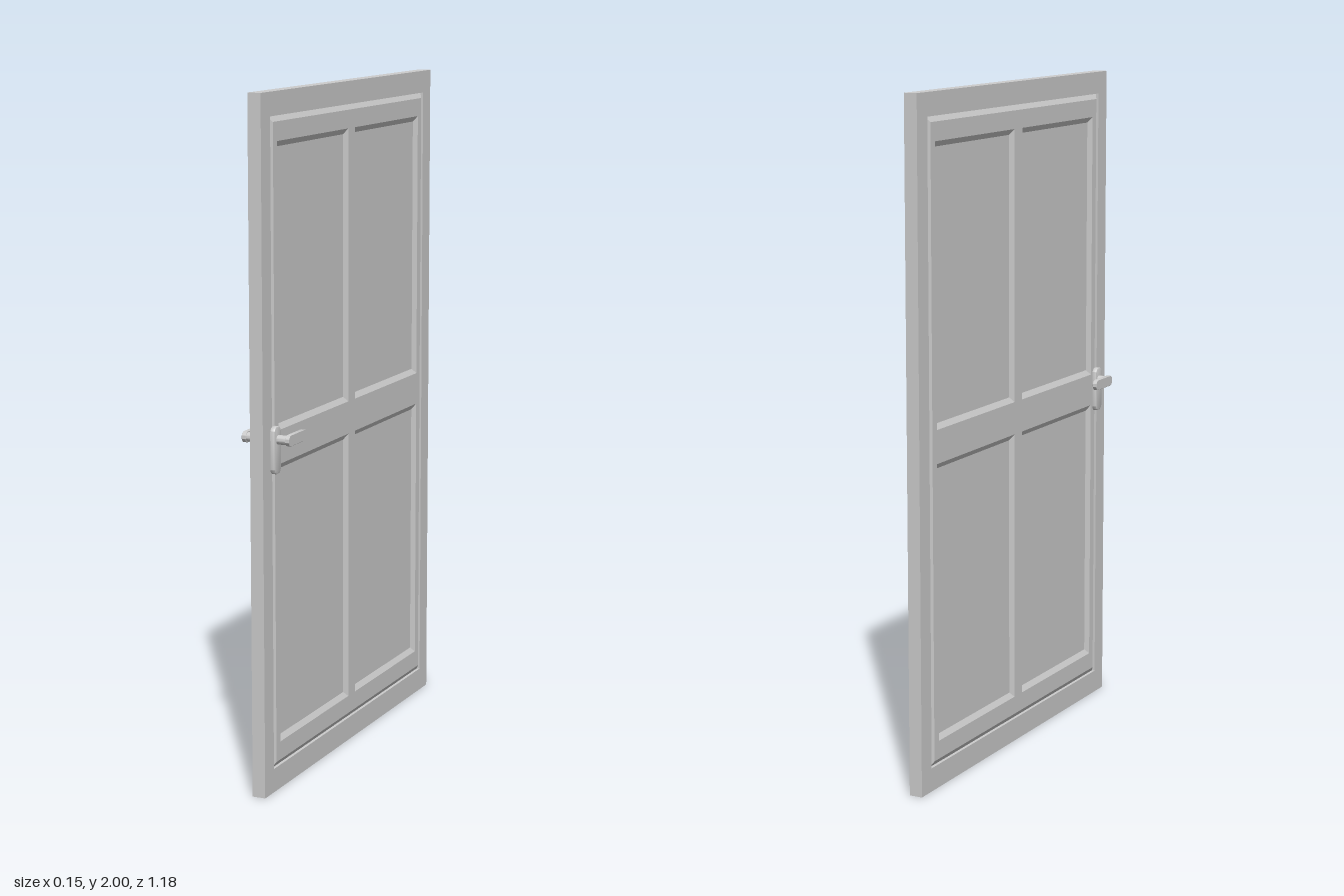
import * as THREE from 'three';
import { toCreasedNormals } from 'three/addons/utils/BufferGeometryUtils.js';

const material = new THREE.MeshStandardMaterial({ color: 0xcccccc });

function addMesh(parent, geometry, name) {
  const mesh = new THREE.Mesh(geometry, material);
  mesh.name = name;
  parent.add(mesh);
  return mesh;
}

// Rectangle outline, for shapes and holes
function rect(x0, y0, x1, y1, Kind = THREE.Shape) {
  const p = new Kind();
  p.moveTo(x0, y0).lineTo(x1, y0).lineTo(x1, y1).lineTo(x0, y1).closePath();
  return p;
}

// Rectangle with rounded corners
function roundRect(x0, y0, x1, y1, r) {
  const s = new THREE.Shape();
  s.absarc(x1 - r, y0 + r, r, -Math.PI / 2, 0);
  s.absarc(x1 - r, y1 - r, r, 0, Math.PI / 2);
  s.absarc(x0 + r, y1 - r, r, Math.PI / 2, Math.PI);
  s.absarc(x0 + r, y0 + r, r, Math.PI, Math.PI * 1.5);
  return s;
}

// Extrudes a shape along x (shape x becomes -z), centred on xCentre;
// the bevel cuts into the outline at both faces
function slab(shape, thickness, xCentre = 0, bevel = 0, bevelDepth = bevel, segments = 1) {
  const g = new THREE.ExtrudeGeometry(shape, {
    depth: thickness - 2 * bevelDepth,
    bevelEnabled: bevel > 0,
    bevelSize: bevel,
    bevelOffset: -bevel,
    bevelThickness: bevelDepth,
    bevelSegments: segments,
    curveSegments: 8,
  });
  g.translate(0, 0, -thickness / 2 + bevelDepth);
  g.rotateY(Math.PI / 2);
  g.translate(xCentre, 0, 0);
  return g;
}

// Plate, spindle and lever on one side of the door
function makeHandle(side) {
  const handle = new THREE.Group();
  handle.name = side > 0 ? 'leftHandle' : 'rightHandle';

  const plate = slab(roundRect(-0.546, 0.936, -0.504, 1.072, 0.017), 0.018, side * 0.025, 0.004, 0.004, 2);
  addMesh(handle, toCreasedNormals(plate, 0.6), 'handlePlate');

  const spindle = new THREE.CylinderGeometry(0.0135, 0.0135, 0.04, 20);
  spindle.rotateZ(Math.PI / 2).translate(side * 0.048, 1.034, 0.523);
  addMesh(handle, toCreasedNormals(spindle, 0.6), 'handleSpindle');

  const lever = slab(roundRect(-0.538, 1.018, -0.422, 1.05, 0.0155), 0.013, side * 0.0675, 0.001);
  addMesh(handle, toCreasedNormals(lever, 0.6), 'handleLever');
  return handle;
}

export function createModel() {
  const door = new THREE.Group();
  door.name = 'door';

  // Outer frame
  const frame = rect(-0.592, 0, 0.592, 2);
  frame.holes.push(rect(-0.535, 0.07, 0.535, 1.933, THREE.Path));
  addMesh(door, slab(frame, 0.04), 'outerFrame');

  // Stiles and rails with sloped edges around four recessed panels
  const leaf = rect(-0.535, 0.07, 0.535, 1.933);
  for (const [y0, y1] of [[0.156, 0.94], [1.07, 1.847]]) {
    for (const z0 of [-0.477, 0.04]) {
      leaf.holes.push(rect(z0, y0, z0 + 0.437, y1, THREE.Path));
    }
  }
  addMesh(door, slab(leaf, 0.041, 0, 0.016, 0.01), 'stilesAndRails');

  // Thin core that fills the four panels
  const core = new THREE.BoxGeometry(0.021, 1.87, 1.08);
  core.translate(0, 1.0015, 0);
  addMesh(door, core, 'panels');

  // Handles on both sides
  for (const side of [1, -1]) door.add(makeHandle(side));

  return door;
}
